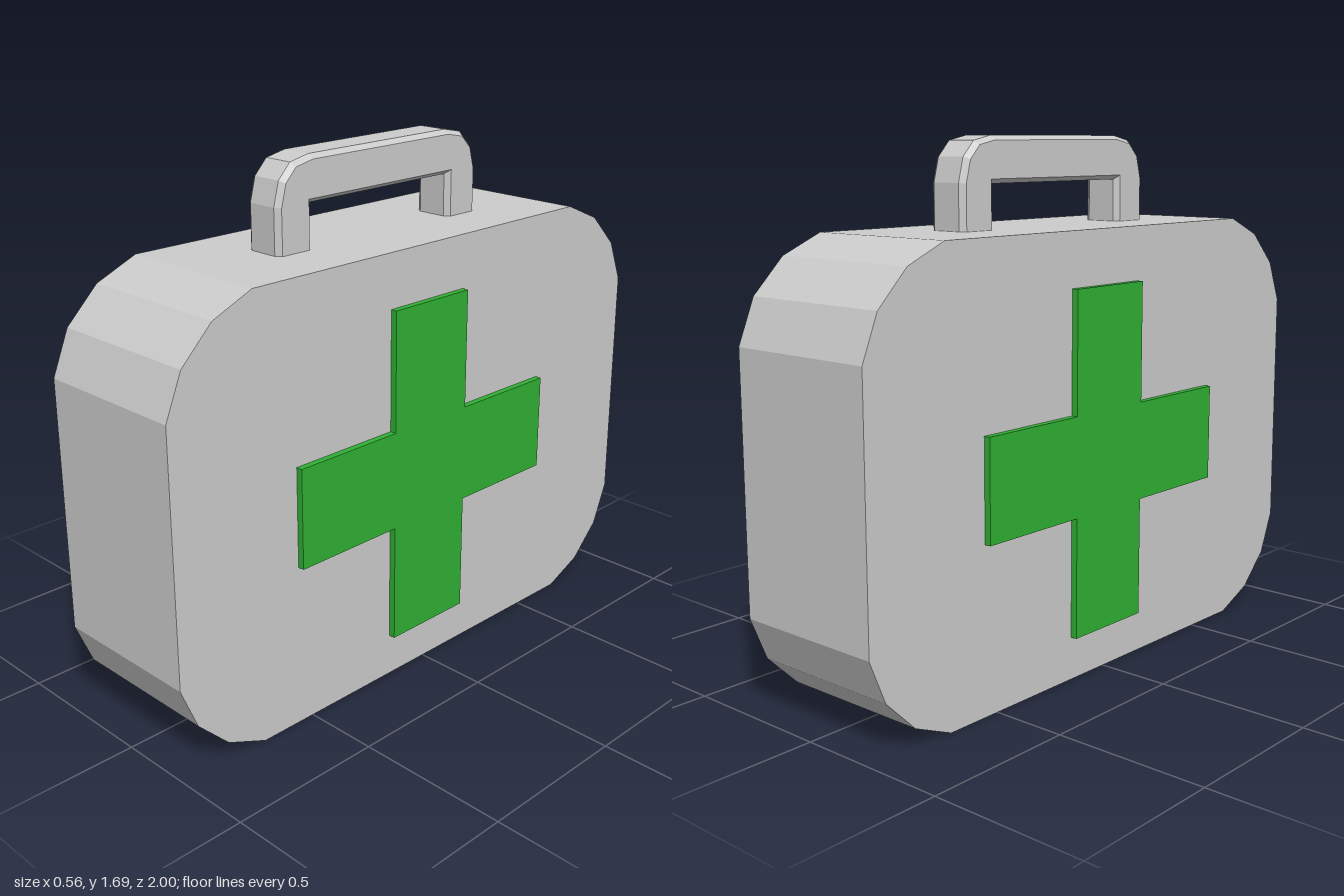
import * as THREE from 'three';

const grey = new THREE.MeshStandardMaterial({ color: 0xcccccc, flatShading: true });
const green = new THREE.MeshStandardMaterial({ color: 0x30b033, flatShading: true });

// Extrudes a (z, y) outline across x, centred on x = 0; width includes the bevels.
function slab(name, points, width, material, bevelSize = 0, bevelThickness = 0) {
  const shape = new THREE.Shape(points.map(([z, y]) => new THREE.Vector2(z, y)));
  const depth = width - 2 * bevelThickness;
  const geometry = new THREE.ExtrudeGeometry(shape, {
    depth, bevelEnabled: bevelSize > 0, bevelSize, bevelThickness,
    bevelOffset: -bevelSize, bevelSegments: 1,
  });
  geometry.translate(0, 0, -depth / 2).rotateY(Math.PI / 2);
  const mesh = new THREE.Mesh(geometry, material);
  mesh.name = name;
  return mesh;
}

// Completes half an outline by mirroring it in z.
const mirrorZ = (half) => [...half, ...half.map(([z, y]) => [-z, y]).reverse()];

export function createModel() {
  const group = new THREE.Group();
  group.name = 'firstAidKit';

  // Case with faceted round corners
  const height = 1.408;
  const corner = [[0.695, 0], [0.835, 0.06], [0.943, 0.167], [1, 0.305]];
  const upper = corner.map(([z, y]) => [z, height - y]).reverse();
  group.add(slab('case', mirrorZ([...corner, ...upper]), 0.515, grey));

  // Bevelled carrying handle, its feet sunk into the case
  const outer = [[0.43, 1.36], [0.43, 1.55], [0.41, 1.625], [0.365, 1.672], [0.293, 1.687]];
  const inner = [[0.295, 1.545], [0.295, 1.36]];
  const left = inner.map(([z, y]) => [-z, y]);
  group.add(slab('handle', [...mirrorZ(outer), ...left.reverse(), ...inner], 0.137, grey, 0.014, 0.018));

  // Raised cross on both broad sides
  const cy = 0.687, arm = 0.548, half = 0.16;
  const cross = mirrorZ([
    [half, cy - arm], [half, cy - half], [arm, cy - half],
    [arm, cy + half], [half, cy + half], [half, cy + arm],
  ]);
  for (const side of [-1, 1]) {
    const plate = slab(side > 0 ? 'leftCross' : 'rightCross', cross, 0.03, green);
    plate.position.x = side * 0.264;
    group.add(plate);
  }
  return group;
}
